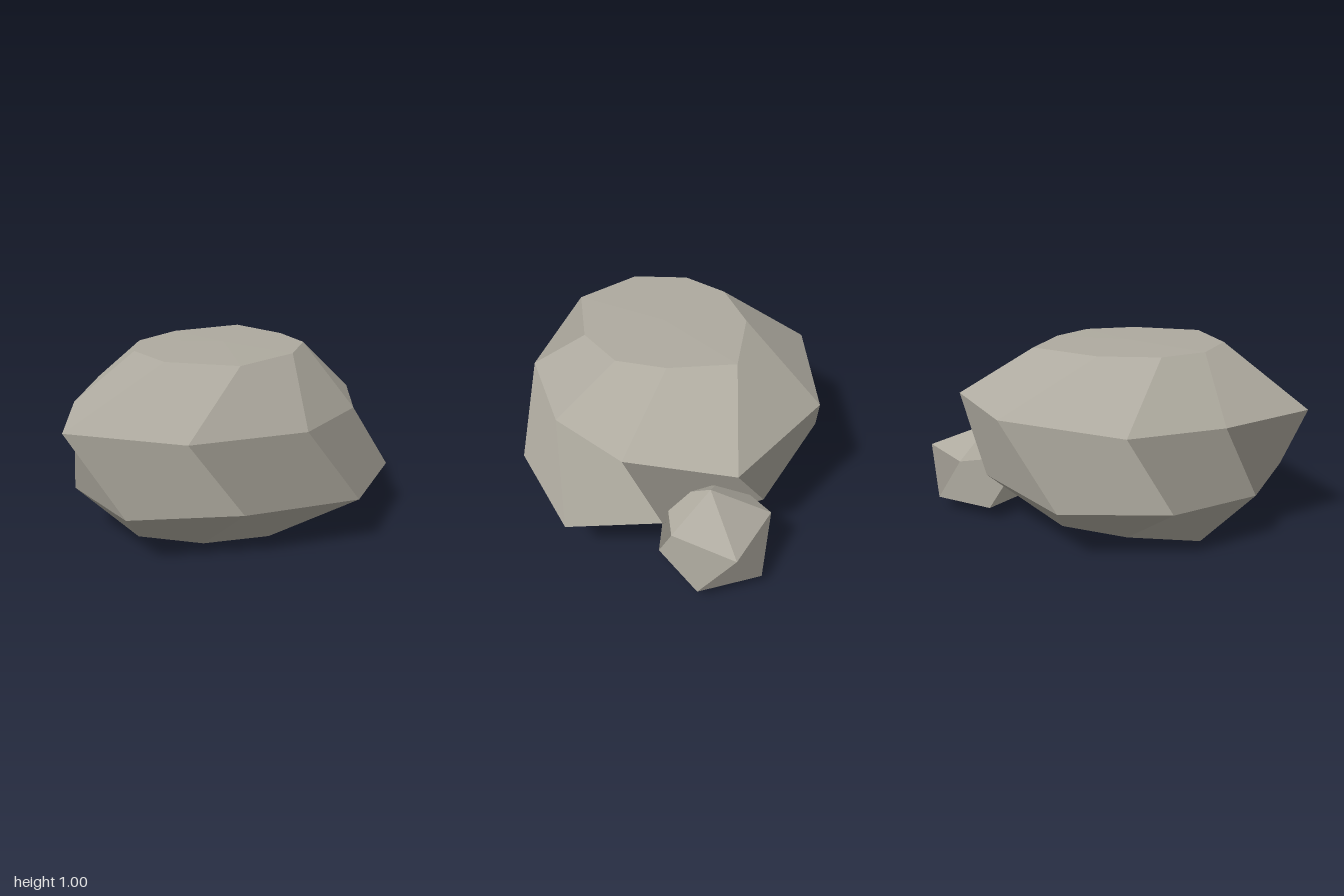
import * as THREE from 'three';

// Faceted stone: a bottom point, rings of [x, y, z] from low to high, and a top point.
// Each four-sided facet is shaded as one flat face.
function stoneGeometry(bottom, rings, top) {
  const pos = [], normals = [];
  const vec = (p, q) => new THREE.Vector3(q[0] - p[0], q[1] - p[1], q[2] - p[2]);
  const face = (normal, corners) => corners.forEach((p) => {
    pos.push(...p);
    normals.push(...normal.normalize().toArray());
  });
  const tri = (p, q, r) => face(vec(p, q).cross(vec(p, r)), [p, q, r]);
  const quad = (p, q, r, s) => face(vec(p, r).cross(vec(q, s)), [p, q, s, q, r, s]);
  const n = rings[0].length;
  const last = rings[rings.length - 1];
  for (let i = 0; i < n; i++) {
    const j = (i + 1) % n;
    tri(bottom, rings[0][j], rings[0][i]);
    for (let r = 0; r + 1 < rings.length; r++) {
      quad(rings[r][i], rings[r][j], rings[r + 1][j], rings[r + 1][i]);
    }
    tri(top, last[i], last[j]);
  }
  const geometry = new THREE.BufferGeometry();
  geometry.setAttribute('position', new THREE.Float32BufferAttribute(pos, 3));
  geometry.setAttribute('normal', new THREE.Float32BufferAttribute(normals, 3));
  return geometry;
}

// Level ring from [x, z] pairs
const ring = (y, points) => points.map(([x, z]) => [x, y, z]);

export function createModel() {
  const group = new THREE.Group();
  group.name = 'rocks';
  const stone = new THREE.MeshStandardMaterial({ color: 0xaeaa9f });
  stone.name = 'stone grey';

  const add = (name, geometry) => {
    const mesh = new THREE.Mesh(geometry, stone);
    mesh.name = name;
    group.add(mesh);
  };

  // Large boulder: nine sides, flat base, twisted belly, nearly flat top
  add('boulder', stoneGeometry([-0.05, 0, 0.04], [
    ring(0, [[-0.59, 0.23], [-0.3, 0.45], [0.06, 0.51], [0.37, 0.37], [0.45, 0.06],
      [0.43, -0.27], [0.07, -0.42], [-0.31, -0.32], [-0.65, -0.12]]),
    [[-0.76, 0.27, 0.58], [-0.19, 0.255, 0.73], [0.44, 0.26, 0.79], [0.9, 0.25, 0.37], [0.77, 0.27, -0.12],
      [0.47, 0.27, -0.6], [-0.23, 0.28, -0.8], [-0.69, 0.275, -0.45], [-0.88, 0.265, 0.05]],
    [[-1, 0.685, 0.37], [-0.48, 0.66, 0.71], [0.11, 0.68, 0.81], [0.56, 0.67, 0.51], [0.785, 0.667, 0.08],
      [0.77, 0.68, -0.5], [0.14, 0.705, -0.82], [-0.54, 0.69, -0.64], [-0.81, 0.68, -0.17]],
    ring(0.99, [[-0.47, 0.37], [-0.16, 0.6], [0.21, 0.45], [0.4, 0.22], [0.4, -0.05],
      [0.28, -0.39], [-0.14, -0.36], [-0.42, -0.18], [-0.53, 0.07]]),
  ], [-0.02, 1, 0.07]));

  // Small rock: five-sided rings leaning into the boulder
  add('smallRock', stoneGeometry([0.62, 0, -0.38], [
    ring(0.07, [[0.82, -0.66], [0.46, -0.6], [0.46, -0.22], [0.78, -0.1], [1, -0.36]]),
    ring(0.335, [[0.62, -0.66], [0.4, -0.38], [0.62, -0.1], [0.9, -0.2], [0.99, -0.55]]),
  ], [0.68, 0.48, -0.35]));

  return group;
}
